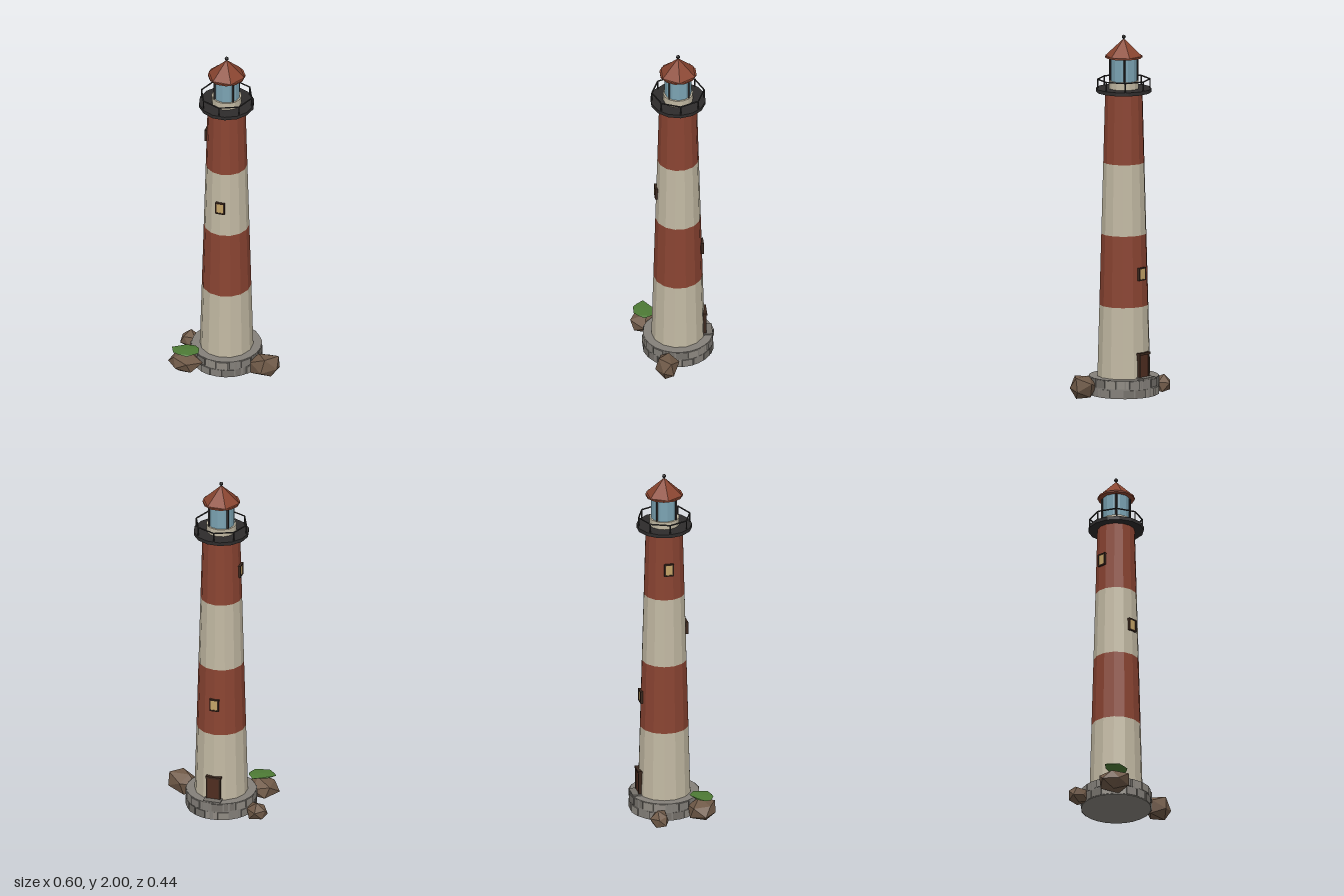
import * as THREE from 'three';

const mat = (color) => new THREE.MeshStandardMaterial({ color, flatShading: true });
const M = {
  white: mat(0xc2b9a3), red: mat(0x8a4432), roof: mat(0x8a4530), stone: mat(0x84807a),
  stoneLight: mat(0x908b83), stoneDark: mat(0x75716b), iron: mat(0x2e2c2c), glass: mat(0x7ba3b3),
  wood: mat(0x4f2d20), frame: mat(0x3a271d), pane: mat(0xc4a468), rock: mat(0x705a48), leaf: mat(0x4d7a35),
};

function add(parent, name, geometry, material, x = 0, y = 0, z = 0) {
  const mesh = new THREE.Mesh(geometry, material);
  mesh.name = name;
  mesh.position.set(x, y, z);
  parent.add(mesh);
  return mesh;
}

// Cylinder standing between two heights
function drum(parent, name, rTop, rBottom, y0, y1, sides, material, turn = 0) {
  const g = new THREE.CylinderGeometry(rTop, rBottom, y1 - y0, sides, 1, false, turn);
  return add(parent, name, g, material, 0, (y0 + y1) / 2, 0);
}

// Thin round bar between two points
function bar(parent, name, a, b, r) {
  const d = b.clone().sub(a);
  const mesh = add(parent, name, new THREE.CylinderGeometry(r, r, d.length(), 6), M.iron);
  mesh.position.copy(a).add(b).multiplyScalar(0.5);
  mesh.quaternion.setFromUnitVectors(new THREE.Vector3(0, 1, 0), d.normalize());
}

// Faceted lump, roughened by position and fitted to a box
function lump(parent, name, material, center, size, seed) {
  const g = new THREE.IcosahedronGeometry(1, 0);
  g.rotateX(seed * 1.3).rotateY(seed * 2.1);
  const p = g.attributes.position, v = new THREE.Vector3();
  for (let i = 0; i < p.count; i++) {
    v.fromBufferAttribute(p, i);
    v.multiplyScalar(1 + 0.14 * Math.sin(v.x * 5 + v.y * 7 + v.z * 9 + seed));
    p.setXYZ(i, v.x, v.y, v.z);
  }
  g.center();
  g.boundingBox.getSize(v);
  g.scale(size[0] / v.x, size[1] / v.y, size[2] / v.z);
  g.center();
  g.computeVertexNormals();
  add(parent, name, g, material, ...center);
}

const Y0 = 0.115, Y1 = 1.69, R0 = 0.146, R1 = 0.103;
const radiusAt = (y) => R0 + (R1 - R0) * (y - Y0) / (Y1 - Y0);

// Framed window set on the wall, facing the given angle from +z
function wallWindow(parent, y, angle) {
  const g = new THREE.Group();
  g.name = 'window';
  g.rotation.y = angle;
  const r = radiusAt(y);
  add(g, 'windowPane', new THREE.BoxGeometry(0.042, 0.058, 0.012), M.pane, 0, y, r);
  for (const s of [-1, 1]) {
    add(g, 'windowJamb', new THREE.BoxGeometry(0.007, 0.07, 0.018), M.frame, s * 0.0225, y, r);
    add(g, 'windowRail', new THREE.BoxGeometry(0.052, 0.007, 0.018), M.frame, 0, y + s * 0.032, r);
  }
  parent.add(g);
}

export function createModel() {
  const model = new THREE.Group();
  model.name = 'lighthouse';
  const tower = new THREE.Group();
  tower.name = 'tower';
  tower.position.set(-0.019, 0, -0.026);
  model.add(tower);

  // Round footing faced with two staggered courses of stones
  drum(tower, 'footing', 0.191, 0.191, 0.015, Y0, 24, M.stone);
  const count = 18, shades = [M.stone, M.stoneLight, M.stoneDark];
  for (let row = 0; row < 2; row++) {
    for (let i = 0; i < count; i++) {
      const a = (i + row / 2) / count * Math.PI * 2;
      const out = 0.184 + 0.003 * Math.sin(i * 2.7 + row * 1.9);
      const stone = add(tower, 'footingStone', new THREE.BoxGeometry(0.059, 0.043, 0.016),
        shades[(i * 5 + row + (i >> 1)) % 3], Math.sin(a) * out, 0.04 + row * 0.05, Math.cos(a) * out);
      stone.rotation.y = a;
    }
  }

  // Tapering tower in four painted bands
  for (let i = 0; i < 4; i++) {
    const a = Y0 + (Y1 - Y0) * i / 4, b = Y0 + (Y1 - Y0) * (i + 1) / 4;
    drum(tower, 'towerBand', radiusAt(b), radiusAt(a), a, b, 14, i % 2 ? M.red : M.white);
  }

  // Windows climbing round the wall
  wallWindow(tower, 0.69, Math.PI);
  wallWindow(tower, 1.08, 0);
  wallWindow(tower, 1.475, -Math.PI / 2);

  // Door with frame and step at the back
  add(tower, 'door', new THREE.BoxGeometry(0.066, 0.13, 0.016), M.wood, 0, 0.18, -0.142);
  add(tower, 'doorLintel', new THREE.BoxGeometry(0.086, 0.012, 0.028), M.frame, 0, 0.251, -0.142);
  for (const s of [-1, 1])
    add(tower, 'doorJamb', new THREE.BoxGeometry(0.008, 0.13, 0.022), M.frame, s * 0.036, 0.18, -0.142);
  add(tower, 'doorStep', new THREE.BoxGeometry(0.097, 0.014, 0.05), M.stoneDark, 0, 0.116, -0.162);

  // Gallery deck and railing
  drum(tower, 'galleryDeck', 0.152, 0.152, 1.685, 1.705, 14, M.iron, Math.PI / 2);
  const corner = (i, y) => new THREE.Vector3(
    Math.cos(i * Math.PI / 4) * 0.143, y, Math.sin(i * Math.PI / 4) * 0.143);
  for (let i = 0; i < 8; i++) {
    bar(tower, 'railPost', corner(i, 1.7), corner(i, 1.755), 0.004);
    bar(tower, 'handRail', corner(i, 1.755), corner(i + 1, 1.755), 0.004);
  }

  // Lantern room
  drum(tower, 'lanternBase', 0.082, 0.082, 1.7, 1.747, 14, M.white);
  drum(tower, 'lanternGlass', 0.073, 0.073, 1.747, 1.88, 12, M.glass);
  for (const x of [-1, 1]) for (const z of [-1, 1])
    add(tower, 'mullion', new THREE.BoxGeometry(0.009, 0.135, 0.009), M.iron, x * 0.053, 1.812, z * 0.053);

  // Roof with eave, six-sided cone and finial
  drum(tower, 'eave', 0.102, 0.102, 1.875, 1.884, 12, M.roof, Math.PI / 12);
  add(tower, 'roof', new THREE.ConeGeometry(0.102, 0.096, 6, 1, false, Math.PI / 6), M.roof, 0, 1.932, 0);
  drum(tower, 'finialStem', 0.004, 0.004, 1.96, 1.985, 6, M.iron);
  add(tower, 'finialBall', new THREE.SphereGeometry(0.011, 8, 6), M.iron, 0, 1.989, 0);

  // Rocks and a flat shrub round the footing
  lump(model, 'frontRock', M.rock, [-0.202, 0.066, 0.144], [0.198, 0.118, 0.154], 1);
  lump(model, 'sideRock', M.rock, [0.219, 0.07, 0.056], [0.162, 0.122, 0.132], 2);
  lump(model, 'backRock', M.rock, [-0.242, 0.05, -0.107], [0.116, 0.1, 0.104], 3);
  lump(model, 'shrub', M.leaf, [-0.203, 0.14, 0.141], [0.154, 0.014, 0.12], 4);
  return model;
}
